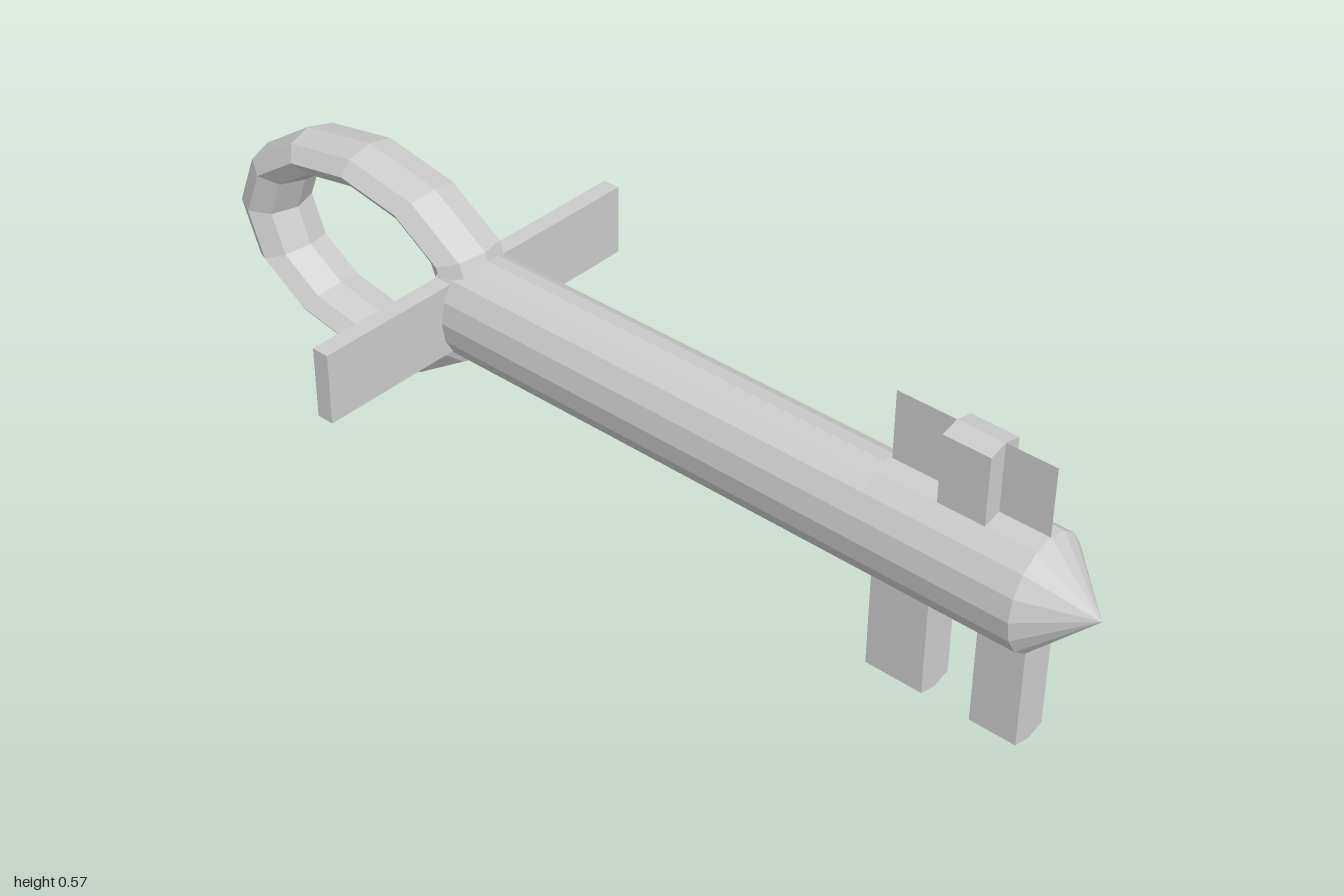
import * as THREE from 'three';

const material = new THREE.MeshStandardMaterial({ color: 0xcccccc, flatShading: true });
const sheetMaterial = new THREE.MeshStandardMaterial({ color: 0xcccccc, flatShading: true, side: THREE.DoubleSide });
const AXIS = 0.317, RX = 0.102, RY = 0.113, SIDES = 16;

// Extrudes an x/y outline between two z positions
function prism(points, z0, z1) {
  const shape = new THREE.Shape(points.map(([x, y]) => new THREE.Vector2(x, y)));
  return new THREE.ExtrudeGeometry(shape, { depth: z1 - z0, bevelEnabled: false }).translate(0, 0, z0);
}

// Point on the oval shaft outline; step 0 is the right-hand side, step 4 the top
function shaftPoint(step) {
  const a = (step / SIDES) * Math.PI * 2;
  return [Math.cos(a) * RX, AXIS + Math.sin(a) * RY];
}

export function createModel() {
  const group = new THREE.Group();
  const add = (name, geometry, mat = material) => {
    const mesh = new THREE.Mesh(geometry, mat);
    mesh.name = name;
    group.add(mesh);
    return mesh;
  };

  // Shaft: full oval at the front, with a shallow recess along the top behind it
  const full = [];
  for (let i = 0; i < SIDES; i++) full.push(shaftPoint(i));
  add('shaftFront', prism(full, 0.57, 0.89));
  const recessed = [
    [0.095, 0.36], [0.068, 0.388], [0.035, 0.408], [0, 0.415], [-0.035, 0.408], [-0.07, 0.388],
  ];
  for (let i = 6; i <= SIDES; i++) recessed.push(shaftPoint(i));
  add('shaftRear', prism(recessed, -0.415, 0.57));

  // Pointed tip
  const tip = new THREE.ConeGeometry(1, 0.11, SIDES, 1, true).rotateX(Math.PI / 2);
  tip.scale(RX, RY, 1);
  add('tip', tip).position.set(0, AXIS, 0.945);

  // Crossbar at the rear of the shaft
  add('crossbar', new THREE.BoxGeometry(0.766, 0.147, 0.036)).position.set(0, 0.3175, -0.395);

  // Oval faceted handle ring, standing in the y/z plane
  const ring = new THREE.TorusGeometry(0.282, 0.061, 8, 12).rotateY(Math.PI / 2);
  ring.scale(1.24, 0.67, 1);
  add('handleRing', ring).position.set(0, AXIS, -0.657);

  // Lower teeth with slightly peaked ends
  const lower = [[-0.038, 0.3], [-0.038, 0.01], [0, 0], [0.038, 0.01], [0.038, 0.3]];
  for (const [z0, z1] of [[0.795, 0.89], [0.575, 0.695]]) add('lowerTooth', prism(lower, z0, z1));

  // Upper tooth flanked by a thin fin
  const upper = [[0.038, 0.35], [0.038, 0.558], [0, 0.567], [-0.038, 0.558], [-0.038, 0.35]];
  add('upperTooth', prism(upper, 0.695, 0.79));
  const fin = new THREE.PlaneGeometry(0.315, 0.167).rotateY(Math.PI / 2);
  add('upperFin', fin, sheetMaterial).position.set(0, 0.4835, 0.7325);

  return group;
}
